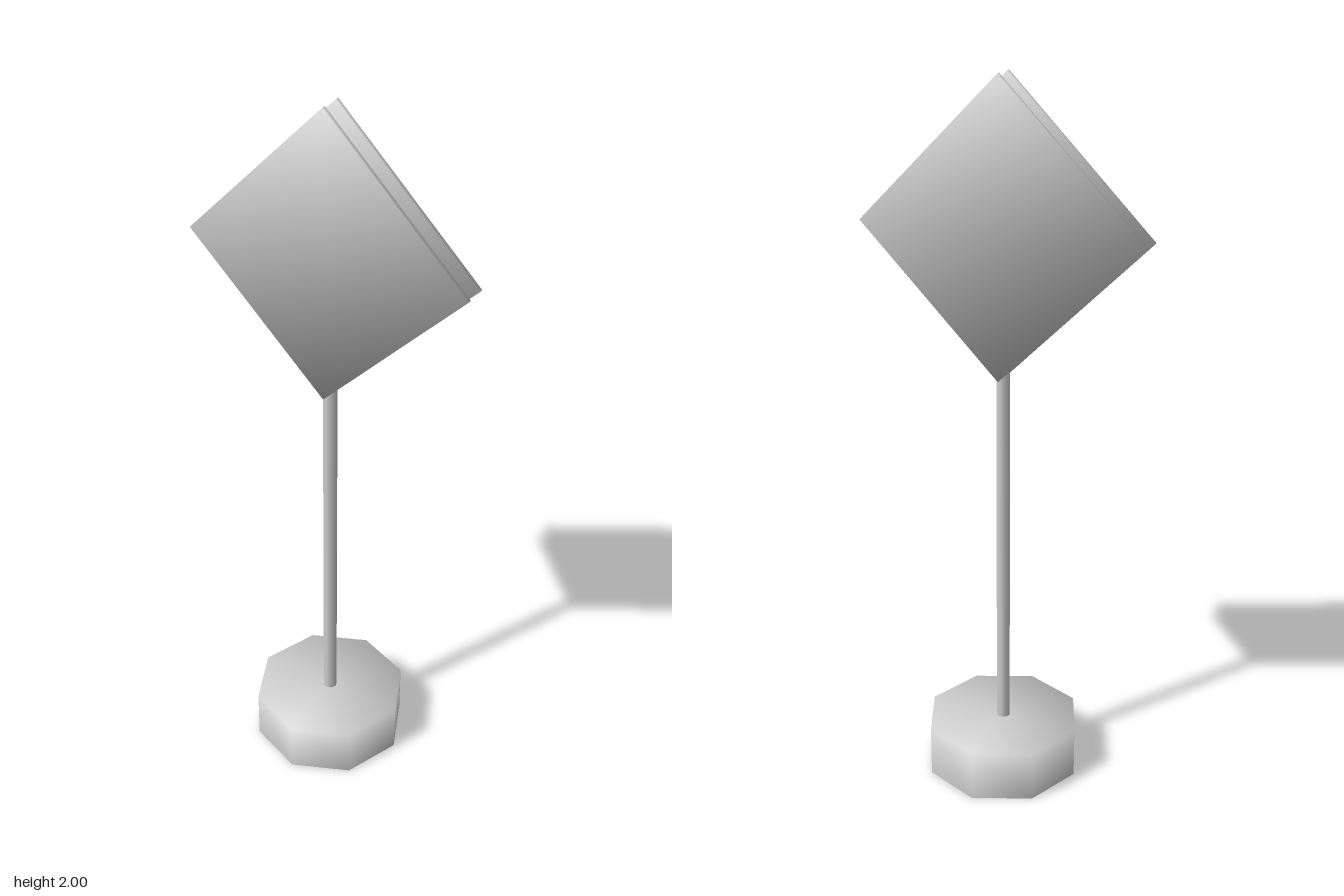
import * as THREE from 'three';

const grey = new THREE.MeshStandardMaterial({ color: 0xcccccc, side: THREE.DoubleSide });
grey.name = 'grey';

function addMesh(parent, name, geometry) {
  const mesh = new THREE.Mesh(geometry, grey);
  mesh.name = name;
  parent.add(mesh);
  return mesh;
}

// Eight-sided upright post with a softly shaded closed top and an open bottom
function octagonPost(radius, bottom, top) {
  const profile = [
    new THREE.Vector2(radius, bottom),
    new THREE.Vector2(radius, top),
    new THREE.Vector2(0, top),
  ];
  return new THREE.LatheGeometry(profile, 8);
}

// Thin square plate whose normals are blended across its corners
function softPlate(side, thickness) {
  const geometry = new THREE.BoxGeometry(side, side, thickness);
  const position = geometry.attributes.position;
  const normal = geometry.attributes.normal;
  const k = 1 / Math.sqrt(3);
  for (let i = 0; i < position.count; i++) {
    normal.setXYZ(
      i,
      Math.sign(position.getX(i)) * k,
      Math.sign(position.getY(i)) * k,
      Math.sign(position.getZ(i)) * k
    );
  }
  return geometry;
}

export function createModel() {
  const model = new THREE.Group();
  model.name = 'signPost';

  // Foot and pole
  addMesh(model, 'base', octagonPost(0.225, 0, 0.15));
  addMesh(model, 'pole', octagonPost(0.02, 0.15, 1.75));

  // Diamond panels on both sides of the pole
  for (const [name, sign] of [['frontPanel', 1], ['backPanel', -1]]) {
    const panel = addMesh(model, name, softPlate(0.4 * Math.SQRT2, 0.012));
    panel.position.set(0, 1.6, sign * 0.031);
    panel.rotation.z = Math.PI / 4;
  }

  return model;
}
